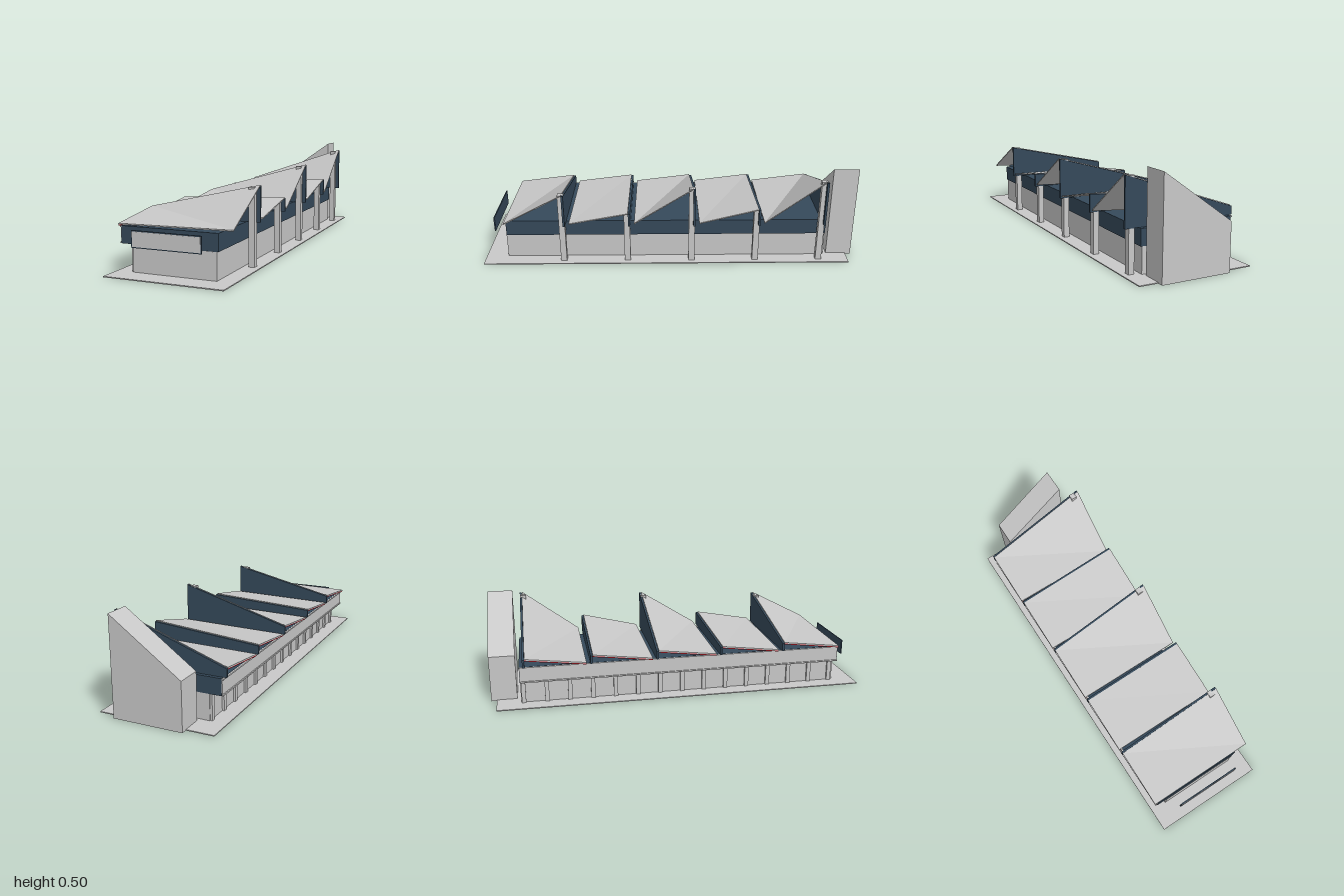
import * as THREE from 'three';

const mat = (name, color) => Object.assign(new THREE.MeshStandardMaterial({ color }), { name });

export function createModel() {
  const root = new THREE.Group();
  root.name = 'sawtoothRoofHall';
  const concrete = mat('concrete grey', 0xc8c8c8);
  const dark = mat('slate blue', 0x35495a);
  const red = mat('red trim', 0xc0202c);

  const add = (name, geo, material, parent = root) => {
    const m = new THREE.Mesh(geo, material);
    m.name = name;
    parent.add(m);
    return m;
  };
  // Box given by its minimum and maximum on each axis
  const box = (name, [x0, x1], [y0, y1], [z0, z1], material, parent) => {
    const m = add(name, new THREE.BoxGeometry(x1 - x0, y1 - y0, z1 - z0), material, parent);
    m.position.set((x0 + x1) / 2, (y0 + y1) / 2, (z0 + z1) / 2);
    return m;
  };
  // Upright polygon in the xy plane, extruded from z0 to z1
  const slab = (name, pts, z0, z1, material, parent) => {
    const shape = new THREE.Shape(pts.map(p => new THREE.Vector2(...p)));
    const geo = new THREE.ExtrudeGeometry(shape, { depth: z1 - z0, bevelEnabled: false });
    add(name, geo, material, parent).position.z = z0;
  };
  // Thin plate over four corners (FL, FR, BR, BL), folded along FR-BL
  const foldedPlate = (c, t) => {
    const v = [...c.map(p => [...p]), ...c.map(([x, y, z]) => [x, y - t, z])];
    const idx = [0, 1, 3, 1, 2, 3, 4, 7, 5, 5, 7, 6];
    for (let i = 0; i < 4; i++) {
      const j = (i + 1) % 4;
      idx.push(i, i + 4, j + 4, i, j + 4, j);
    }
    const g = new THREE.BufferGeometry();
    g.setAttribute('position', new THREE.Float32BufferAttribute(v.flat(), 3));
    g.setIndex(idx);
    const flat = g.toNonIndexed();
    flat.computeVertexNormals();
    return flat;
  };

  // Ground plate, ground floor and overhanging upper floor
  box('groundPlate', [-0.302, 0.302], [0, 0.005], [-0.97, 1], concrete);
  box('groundFloor', [-0.215, 0.215], [0.005, 0.137], [-0.845, 0.882], concrete);
  box('upperFloor', [-0.276, 0.222], [0.137, 0.221], [-0.845, 0.88], dark);

  // Pilasters along the right wall
  const count = 15;
  for (let i = 0; i < count; i++) {
    const z = -0.83 + i * (1.69 / (count - 1));
    box('pilaster', [-0.226, -0.215], [0.005, 0.134], [z - 0.011, z + 0.011], concrete);
  }

  // Cladding and rails on the right side of the upper floor
  box('sideCladding', [-0.279, -0.276], [0.142, 0.215], [-0.843, 0.878], concrete);
  for (const y of [0.137, 0.213])
    box('sideRail', [-0.285, -0.276], [y, y + 0.007], [-0.843, 0.878], concrete);

  // Free-standing framed board at the front
  box('frontBoardFrame', [-0.178, 0.176], [0.138, 0.219], [0.947, 0.953], dark);
  box('frontBoardFace', [-0.173, 0.171], [0.143, 0.214], [0.953, 0.955], concrete);

  // Five roof bays with alternating high and low corners
  const peaks = [0.402, 0.297, 0.437, 0.317, 0.472];
  peaks.forEach((peak, i) => {
    const bay = new THREE.Group();
    bay.name = 'roofBay';
    root.add(bay);
    const back = 0.565 - i * 0.345, front = back + 0.312, w = 0.294;
    const FL = [-w, 0.23, front], FR = [w, 0.24, front];
    const BR = [w, peak, back], BL = [-w, 0.268, back];
    add('foldedRoof', foldedPlate([FL, FR, BR, BL], 0.006), concrete, bay);

    // Vertical glazing closing the high edge
    slab('glazing', [[-w, 0.221], [w, 0.221], [w, peak - 0.004], [-w, 0.264]],
      back - 0.012, back - 0.001, dark, bay);

    // Red trim below the low edge
    const drop = ([x, y, z], dx) => [x + dx, y - 0.006, z];
    add('redTrim', foldedPlate([drop(FL, 0.001), drop(FL, 0.012), drop(BL, 0.012), drop(BL, 0.001)], 0.005), red, bay);

    // Column carrying the high corner
    box('column', [0.243, 0.273], [0.005, peak - 0.01], [back - 0.01, back + 0.022], concrete, bay);
  });

  // Sloped tower at the back
  slab('backTower', [[-0.16, 0], [0.205, 0], [0.205, 0.505], [-0.16, 0.245]], -1, -0.865, concrete);
  return root;
}
